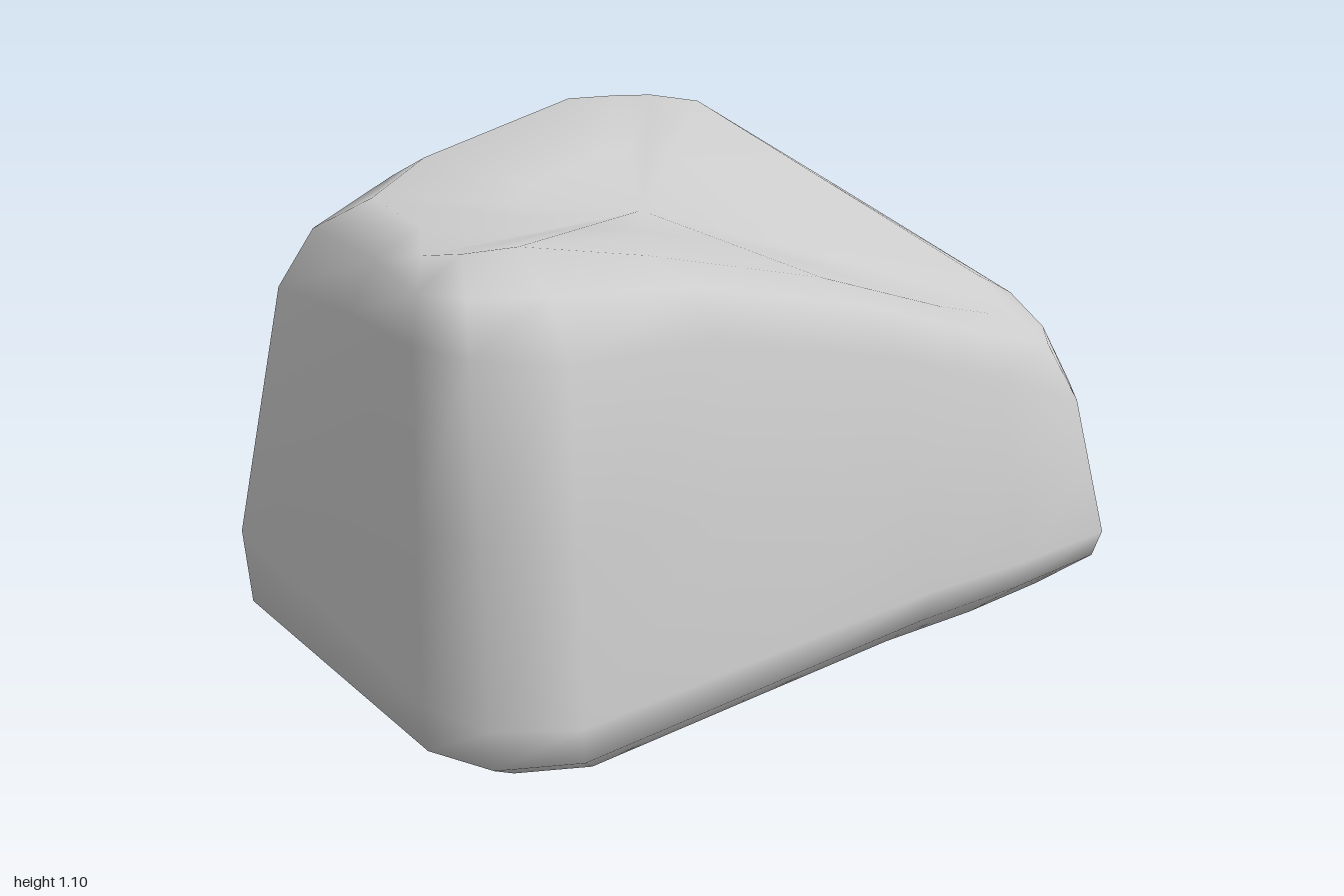
import * as THREE from 'three';

// One upright station per row, counterclockwise seen from above:
// foot x,z | shoulder x,y,z | rim of the sloping top x,y,z
const STATIONS = [
  [-1.00, 0.20, -0.92, 0.95, 0.13, -0.73, 1.07, 0.00],
  [-0.99, 0.37, -0.90, 0.94, 0.26, -0.70, 1.08, 0.08],
  [-0.85, 0.50, -0.76, 0.92, 0.40, -0.59, 1.08, 0.14],
  [-0.35, 0.59, -0.35, 0.88, 0.47, -0.35, 1.03, 0.29],
  [0.20, 0.69, 0.18, 0.72, 0.58, 0.15, 0.88, 0.41],
  [0.50, 0.77, 0.50, 0.60, 0.67, 0.48, 0.75, 0.53],
  [0.78, 0.82, 0.75, 0.49, 0.75, 0.67, 0.69, 0.57],
  [0.89, 0.72, 0.84, 0.50, 0.68, 0.74, 0.70, 0.53],
  [0.96, 0.57, 0.89, 0.58, 0.54, 0.78, 0.74, 0.45],
  [0.98, 0.05, 0.90, 0.76, 0.05, 0.78, 0.91, 0.00],
  [1.00, -0.50, 0.90, 0.88, -0.45, 0.78, 1.05, -0.37],
  [0.94, -0.73, 0.88, 0.88, -0.65, 0.73, 1.06, -0.48],
  [0.77, -0.82, 0.75, 0.88, -0.72, 0.64, 1.07, -0.52],
  [0.35, -0.81, 0.35, 0.88, -0.71, 0.44, 1.10, -0.52],
  [-0.11, -0.80, -0.10, 0.87, -0.69, -0.12, 1.07, -0.51],
  [-0.64, -0.64, -0.59, 0.87, -0.54, -0.43, 1.06, -0.40],
  [-0.82, -0.22, -0.76, 0.92, -0.18, -0.57, 1.07, -0.14],
];
const BOTTOM = new THREE.Vector3(0.05, 0, -0.28);
const TOP = new THREE.Vector3(0.1, 0.97, -0.05);

// All heights of one station, from the underside up over the rim
function column([fx, fz, sx, sy, sz, rx, ry, rz]) {
  const foot = new THREE.Vector3(fx, 0.23 - 0.08 * fz, fz);
  const shoulder = new THREE.Vector3(sx, sy, sz);
  const rim = new THREE.Vector3(rx, ry, rz);
  const ring = (scale, y) => new THREE.Vector3(fx * scale, y, fz * scale);
  const bevel = shoulder.clone().lerp(rim, 0.38);
  bevel.y = THREE.MathUtils.lerp(sy, ry, 0.68);
  return [
    ring(0.45, 0.025),
    ring(0.86, 0.038),
    ring(0.98, 0.105),
    foot,
    foot.clone().lerp(shoulder, 0.5),
    shoulder,
    bevel,
    rim,
    rim.clone().lerp(TOP, 0.5),
  ];
}

function boulderGeometry() {
  const columns = STATIONS.map(column);
  const n = columns.length;
  const rings = columns[0].length;
  const points = [];
  for (let i = 0; i < rings; i++) for (const c of columns) points.push(c[i]);
  const bottom = points.push(BOTTOM) - 1;
  const top = points.push(TOP) - 1;

  const index = [];
  for (let j = 0; j < n; j++) {
    const k = (j + 1) % n;
    for (let i = 0; i < rings - 1; i++) {
      const a = i * n + j, b = i * n + k;
      index.push(a, b, b + n, a, b + n, a + n);
    }
    // Fans closing the underside and the top
    index.push(bottom, k, j);
    index.push(top, (rings - 1) * n + j, (rings - 1) * n + k);
  }
  const geometry = new THREE.BufferGeometry().setFromPoints(points);
  geometry.setIndex(index);
  geometry.computeVertexNormals();
  return geometry;
}

export function createModel() {
  const group = new THREE.Group();
  group.name = 'rock';
  const boulder = new THREE.Mesh(
    boulderGeometry(),
    new THREE.MeshStandardMaterial({ color: 0xcccccc })
  );
  boulder.name = 'boulder';
  group.add(boulder);
  return group;
}
